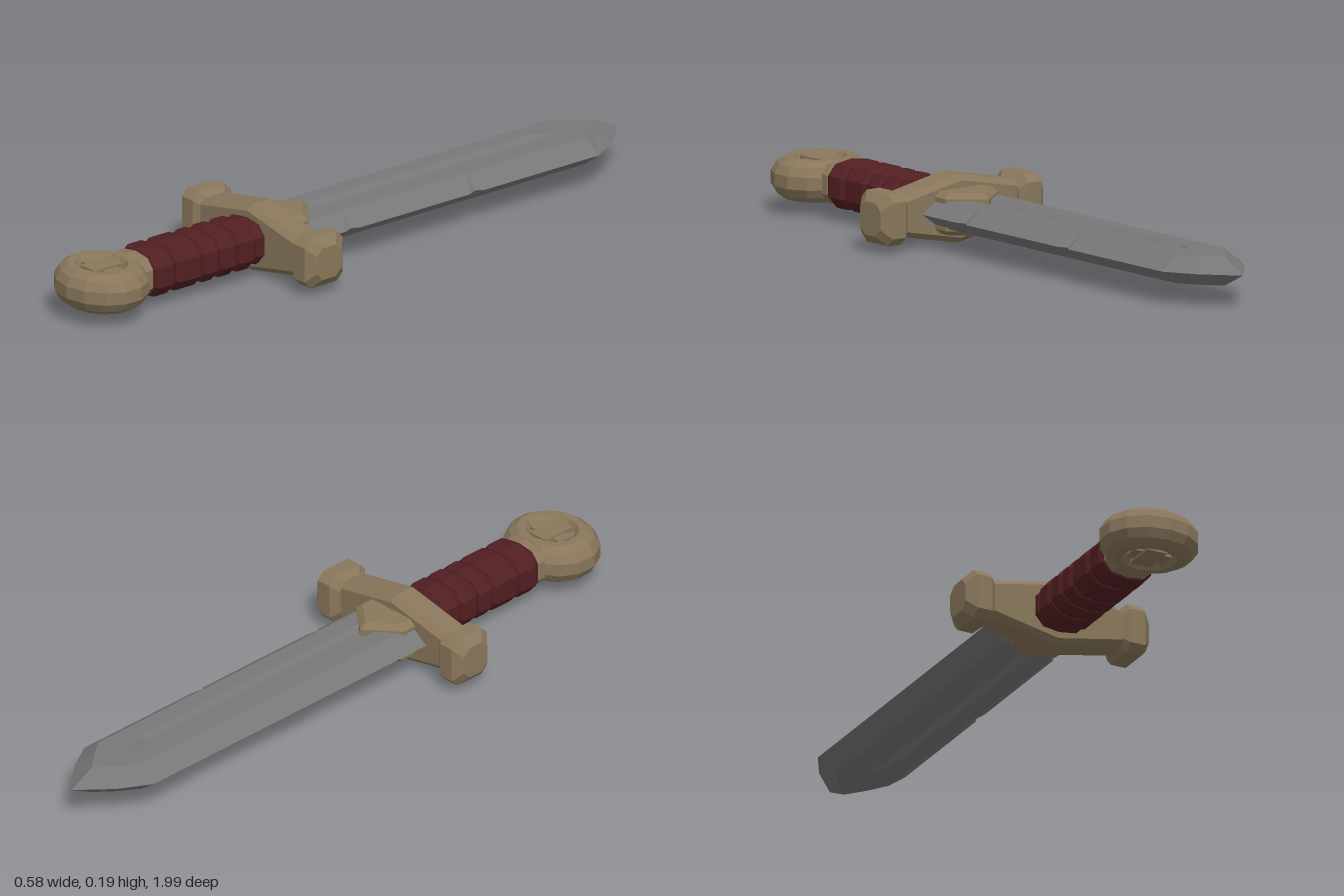
import * as THREE from 'three';

const MID = 0.1; // height of the sword's centre plane

// Skin a list of closed rings of [x, y, z] points with flat faces, optionally closing the ends.
function loft(rings, capStart = true, capEnd = true) {
  const tris = [];
  const n = rings[0].length;
  const V = (p) => new THREE.Vector3(...p);
  const add = (a, b, c) => {
    const area = b.clone().sub(a).cross(c.clone().sub(a)).length();
    if (area > 1e-9) tris.push([a, b, c]);
  };
  for (let i = 0; i + 1 < rings.length; i++) {
    for (let j = 0; j < n; j++) {
      const k = (j + 1) % n;
      const a = V(rings[i][j]), b = V(rings[i][k]), c = V(rings[i + 1][k]), d = V(rings[i + 1][j]);
      add(a, b, c);
      add(a, c, d);
    }
  }
  const cap = (ring, flip) => {
    const mid = ring.reduce((s, p) => s.add(V(p)), new THREE.Vector3()).divideScalar(n);
    ring.forEach((p, j) => {
      const a = V(p), b = V(ring[(j + 1) % n]);
      if (flip) add(mid, b, a); else add(mid, a, b);
    });
  };
  if (capStart) cap(rings[0], true);
  if (capEnd) cap(rings[rings.length - 1], false);

  // Turn the faces outward
  const volume = tris.reduce((s, [a, b, c]) => s + a.dot(b.clone().cross(c)), 0);
  const pos = [];
  for (const [a, b, c] of tris) {
    for (const p of volume < 0 ? [a, c, b] : [a, b, c]) pos.push(p.x, p.y, p.z);
  }
  const g = new THREE.BufferGeometry();
  g.setAttribute('position', new THREE.Float32BufferAttribute(pos, 3));
  g.computeVertexNormals();
  return g;
}

// Rectangle with cut corners
const octagon = (hu, hv, c) => [
  [hu, hv - c], [hu - c, hv], [c - hu, hv], [-hu, hv - c],
  [-hu, c - hv], [c - hu, -hv], [hu - c, -hv], [hu, c - hv],
];

// Ten-sided oval with a slight crown, used for the grip
const GRIP = [[0, 0.07], [0.055, 0.062], [0.083, 0.03], [0.083, -0.03], [0.055, -0.062],
  [0, -0.07], [-0.055, -0.062], [-0.083, -0.03], [-0.083, 0.03], [-0.055, 0.062]];
const gripRing = (z, s) => GRIP.map(([x, y]) => [x * s, y * s, z]);

// One blade station: cutting edge, bevel ridge and central groove
function bladeRing({ edge, ridge, groove, nick = 0 }) {
  const [ex, ez] = edge, [rx, rz] = ridge, [rim, floor, depth, gz] = groove;
  const T = 0.04;
  const face = [[rx, T, rz], [rim, T, gz], [floor, T - depth, gz],
    [-floor, T - depth, gz], [-rim, T, gz], [-rx, T, rz]];
  const under = face.map(([x, y, z]) => [-x, -y, z]);
  return [[ex - nick, 0, ez], ...face, [-ex, 0, ez], ...under];
}

export function createModel() {
  const steel = new THREE.MeshStandardMaterial({ color: 0x777777 });
  const brass = new THREE.MeshStandardMaterial({ color: 0x89775b });
  const leather = new THREE.MeshStandardMaterial({ color: 0x521f22 });

  const sword = new THREE.Group();
  sword.name = 'sword';
  const add = (name, geometry, material, z = 0) => {
    const mesh = new THREE.Mesh(geometry, material);
    mesh.name = name;
    mesh.position.set(0, MID, z);
    sword.add(mesh);
    return mesh;
  };

  // Blade: straight body with small nicks, then a curved point
  const body = (z, nick = 0) => ({
    edge: [0.137, z], ridge: [0.083, z], groove: [0.03, 0.014, 0.014, z], nick,
  });
  const stations = [
    body(0.27), body(0.1), body(0.07, 0.012), body(0.05), body(-0.35), body(-0.38, 0.014), body(-0.4),
    body(-0.7),
    { edge: [0.137, -0.75], ridge: [0.083, -0.75], groove: [0, 0, 0, -0.76] },
    { edge: [0.137, -0.815], ridge: [0.083, -0.81], groove: [0, 0, 0, -0.81] },
    { edge: [0.085, -0.905], ridge: [0.047, -0.865], groove: [0, 0, 0, -0.865] },
    { edge: [0, -1], ridge: [0, -0.92], groove: [0, 0, 0, -0.92] },
  ];
  add('blade', loft(stations.map(bladeRing), true, false), steel);

  // Crossguard: a bar that swells towards the middle
  const bar = [[-0.21, 0.055], [0, 0.097], [0.21, 0.055]].map(([x, hy]) =>
    octagon(hy, 0.049, 0.016).map(([y, z]) => [x, y, z]));
  add('crossguard', loft(bar), brass, 0.292);

  // Faceted knobs on both ends of the guard
  for (const side of [1, -1]) {
    const knob = [[0.197, 0.056, 0.05], [0.217, 0.073, 0.069], [0.263, 0.073, 0.069], [0.288, 0.047, 0.045]]
      .map(([x, hy, hz]) => octagon(hy, hz, 0.022).map(([y, z]) => [x * side, y, z]));
    add(side > 0 ? 'leftGuardKnob' : 'rightGuardKnob', loft(knob), brass, 0.287);
  }

  // Pointed plate clasping the blade root on both faces
  const plate = (y, inset) => [[0.093, 0.26], [0.093 - inset, 0.197 + inset * 0.4],
    [0, 0.122 + inset * 1.2], [inset - 0.093, 0.197 + inset * 0.4], [-0.093, 0.26]]
    .map(([x, z], i) => [i === 0 ? x - inset : i === 4 ? x + inset : x, y, z]);
  add('bladeClasp', loft([plate(-0.06, 0.018), plate(-0.045, 0), plate(0.045, 0), plate(0.06, 0.018)]), brass);

  // Grip: leather core with bulging wraps
  add('gripCore', loft([gripRing(0.33, 0.88), gripRing(0.75, 0.88)]), leather);
  const wraps = [[0.335, 0.371], [0.375, 0.437], [0.441, 0.503], [0.507, 0.563], [0.567, 0.663], [0.667, 0.738]];
  wraps.forEach(([a, b], i) => {
    const s = i === 0 ? 0.93 : 1;
    add('gripWrap', loft([gripRing(a, s * 0.91), gripRing(a + 0.012, s), gripRing(b - 0.012, s),
      gripRing(b, s * 0.91)]), leather);
  });

  // Collar between grip and pommel
  add('pommelCollar', loft([gripRing(0.735, 0.82), gripRing(0.745, 0.9), gripRing(0.768, 0.9),
    gripRing(0.785, 0.8)]), brass);

  // Pommel: rounded disc, dished on both faces
  const half = [[0, 0.04], [0.066, 0.04], [0.08, 0.058], [0.103, 0.058], [0.127, 0.043], [0.143, 0.018]];
  const profile = [...half.map(([r, y]) => [r, -y]), ...half.slice().reverse()]
    .map(([r, y]) => new THREE.Vector2(r, y));
  const disc = new THREE.LatheGeometry(profile, 14).toNonIndexed();
  disc.scale(1, 1, 0.88);
  disc.computeVertexNormals();
  add('pommel', disc, brass, 0.868);

  // Crossed blocks set in the dishes
  add('pommelBlock', new THREE.BoxGeometry(0.062, 0.108, 0.104), brass, 0.866);
  add('pommelCrossBlock', new THREE.BoxGeometry(0.116, 0.098, 0.05), brass, 0.866);

  return sword;
}
